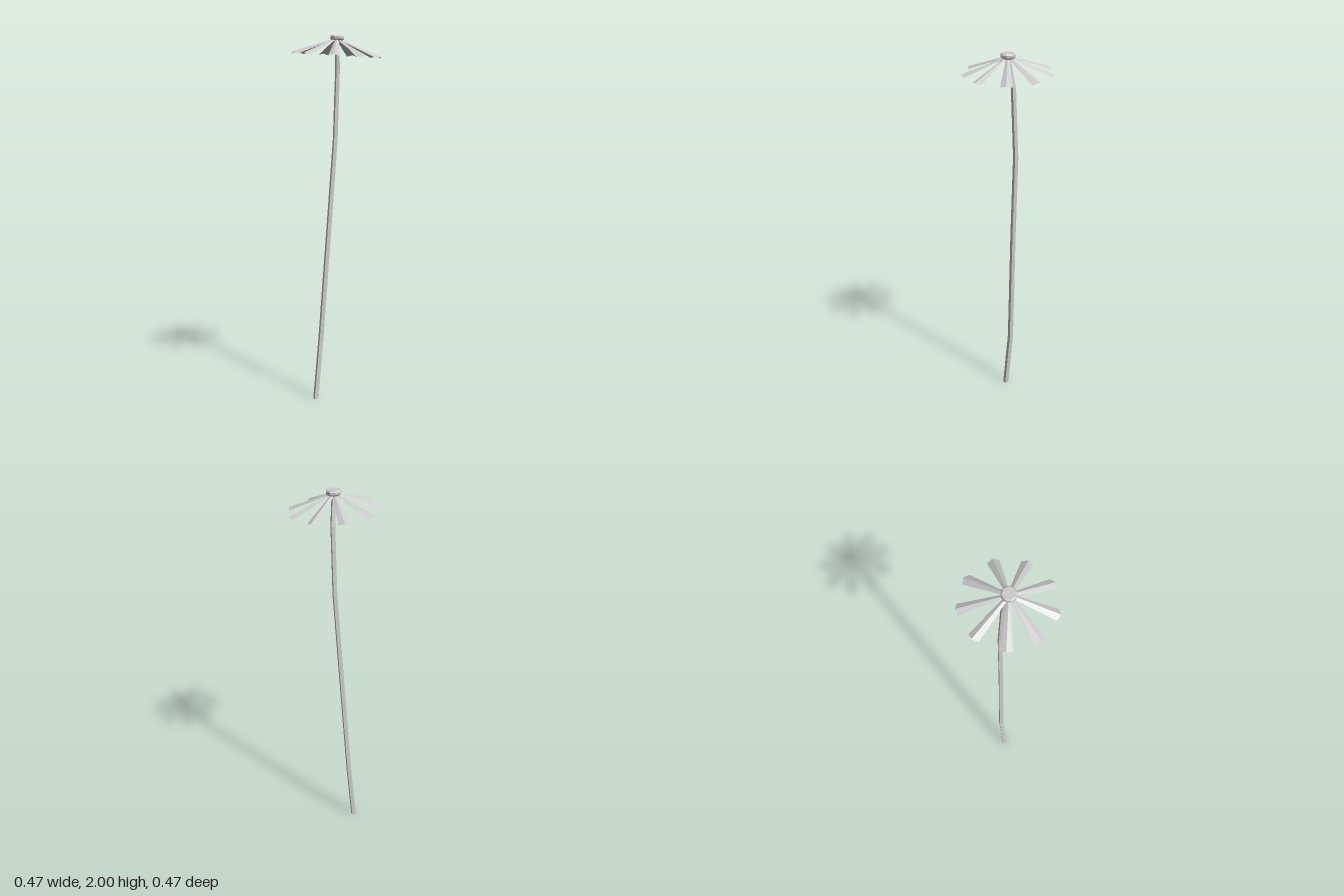
import * as THREE from 'three';

const petalGrey = new THREE.MeshStandardMaterial({ color: 0xcccccc });
petalGrey.name = 'pale grey';
petalGrey.side = THREE.DoubleSide;

// Faceted mesh: unshared vertices give hard edges
function facet(geometry, name) {
  const flat = geometry.index ? geometry.toNonIndexed() : geometry;
  flat.computeVertexNormals();
  const mesh = new THREE.Mesh(flat, petalGrey);
  mesh.name = name;
  return mesh;
}

// Four-sided stem whose rings follow a gently bent path
function makeStem() {
  const path = [
    [-0.11, 0, 0.05], [-0.093, 0.33, 0.018], [-0.05, 1.0, -0.006],
    [-0.023, 1.45, -0.025], [-0.006, 1.82, -0.016], [0.002, 1.975, 0.01],
  ];
  const rows = path.length - 1;
  const geometry = new THREE.CylinderGeometry(0.013, 0.016, 1, 4, rows);
  const p = geometry.attributes.position;
  for (let i = 0; i < p.count; i++) {
    const [x, y, z] = path[Math.round((p.getY(i) + 0.5) * rows)];
    p.setXYZ(i, p.getX(i) + x, y, p.getZ(i) + z);
  }
  return facet(geometry, 'stem');
}

// Petal pointing along +z: two halves folded along a raised midrib
function makePetal() {
  const rib = [[0, -0.012, 0.025], [0, -0.088, 0.24]];
  const points = [];
  for (const s of [-1, 1]) {
    const inner = [s * 0.01, -0.018, 0.025];
    const outer = [s * 0.03, -0.097, 0.227];
    const quad = s > 0
      ? [rib[0], rib[1], outer, rib[0], outer, inner]
      : [rib[0], outer, rib[1], rib[0], inner, outer];
    points.push(...quad.flat());
  }
  const geometry = new THREE.BufferGeometry();
  geometry.setAttribute('position', new THREE.Float32BufferAttribute(points, 3));
  return facet(geometry, 'petal');
}

export function createModel() {
  const model = new THREE.Group();
  model.name = 'flower';
  model.add(makeStem());

  // Flower head, tipped slightly to one side
  const head = new THREE.Group();
  head.name = 'flowerHead';
  head.position.set(0.003, 1.988, 0.01);
  head.rotation.z = -0.06;
  model.add(head);

  // Eight-sided centre with a bevelled rim
  const profile = [[0, -0.022], [0.026, -0.022], [0.039, -0.008], [0.039, 0.004], [0.033, 0.01], [0, 0.01]];
  const centre = new THREE.LatheGeometry(profile.map(([r, y]) => new THREE.Vector2(r, y)), 8);
  head.add(facet(centre, 'centre'));

  // Nine drooping petals, one pointing straight back
  for (let i = 0; i < 9; i++) {
    const petal = makePetal();
    petal.rotation.y = Math.PI + (i * Math.PI * 2) / 9;
    head.add(petal);
  }
  return model;
}
